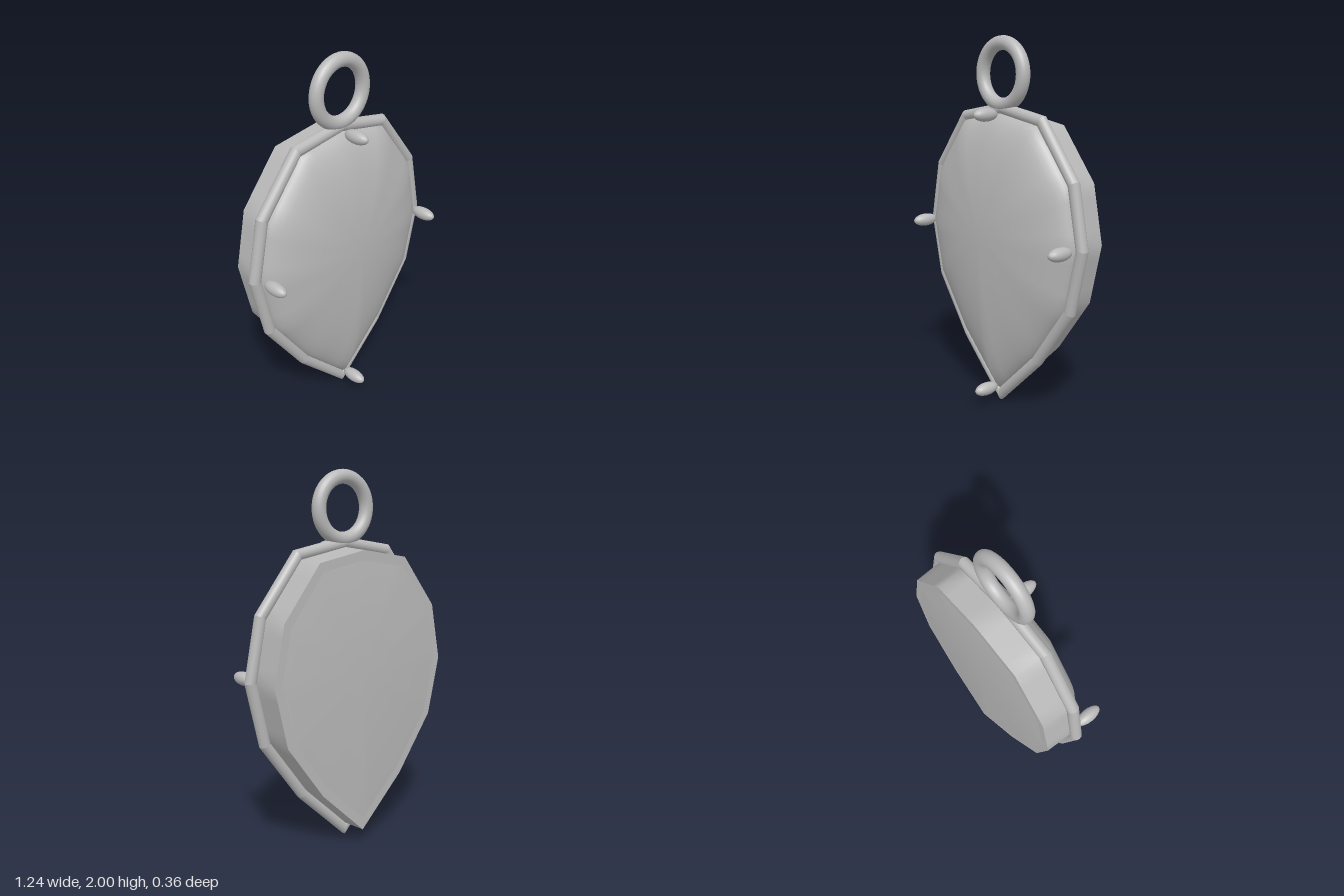
import * as THREE from 'three';
import { mergeVertices } from 'three/addons/utils/BufferGeometryUtils.js';

// Teardrop outline, right half from top to tip (centre line of the rim)
const HALF = [[0, 1.628], [0.298, 1.577], [0.525, 1.29], [0.59, 0.97], [0.515, 0.64], [0.285, 0.32], [0, 0.045]];
const CENTRE_Y = 0.97;

// Full outline, counter-clockwise seen from the front
const OUTLINE = [
  ...HALF.map(([x, y]) => new THREE.Vector2(-x, y)),
  ...HALF.slice(1, -1).reverse().map(([x, y]) => new THREE.Vector2(x, y)),
];

// Outline with every edge cut into short pieces
const FINE = OUTLINE.flatMap((p, i) => {
  const q = OUTLINE[(i + 1) % OUTLINE.length];
  return [0, 0.25, 0.5, 0.75].map((t) => p.clone().lerp(q, t));
});

// Outline scaled about the widest height and placed at depth z
const ring = (scale, z) =>
  FINE.map((p) => new THREE.Vector3(p.x * scale, CENTRE_Y + (p.y - CENTRE_Y) * scale, z));

// Smooth skin through closed rings of equal point count
function loft(rings) {
  const n = rings[0].length;
  const index = [];
  for (let i = 0; i < rings.length - 1; i++) {
    for (let k = 0; k < n; k++) {
      const a = i * n + k;
      const b = i * n + ((k + 1) % n);
      index.push(a, a + n, b, b, a + n, b + n);
    }
  }
  let geometry = new THREE.BufferGeometry().setFromPoints(rings.flat());
  geometry.setIndex(index);
  geometry = mergeVertices(geometry, 1e-5);
  geometry.computeVertexNormals();
  return geometry;
}

// Round wire section, mitred at outline corner i
function mitreRing(i, radius, z) {
  const n = OUTLINE.length;
  const p = OUTLINE[i % n];
  const before = p.clone().sub(OUTLINE[(i + n - 1) % n]).normalize();
  const after = OUTLINE[(i + 1) % n].clone().sub(p).normalize();
  const along = before.clone().add(after).normalize();
  const reach = radius / along.dot(after);
  return Array.from({ length: 16 }, (_, k) => {
    const a = (k / 16) * Math.PI * 2;
    const out = Math.cos(a) * reach;
    return new THREE.Vector3(p.x + along.y * out, p.y - along.x * out, z + Math.sin(a) * radius);
  });
}

export function createModel() {
  const model = new THREE.Group();
  const metal = new THREE.MeshStandardMaterial({ color: 0xb8b8b8 });
  metal.name = 'greyMetal';
  metal.side = THREE.DoubleSide;

  const add = (name, geometry, parent = model) => {
    const mesh = new THREE.Mesh(geometry, metal);
    mesh.name = name;
    parent.add(mesh);
    return mesh;
  };

  // Domed stone
  const dome = [];
  for (let i = 0; i <= 14; i++) {
    const a = (i / 14) * Math.PI / 2;
    dome.push(ring(0.97 * Math.sin(a), -0.01 + 0.166 * Math.cos(a)));
  }
  add('stone', loft(dome));

  // Setting behind the stone: side wall, flat lip and back plate
  add('settingWall', loft([ring(0.97, -0.01), ring(0.957, -0.178)]));
  add('settingLip', loft([ring(0.957, -0.178), ring(0.87, -0.178)]));
  add('backPlate', loft([ring(0.88, -0.15), ring(0.88, -0.182), ring(0, -0.182)]));

  // Wire rim, one straight piece per outline edge
  const rim = new THREE.Group();
  rim.name = 'rim';
  model.add(rim);
  OUTLINE.forEach((_, i) => {
    add('rimSegment', loft([mitreRing(i, 0.031, -0.01), mitreRing(i + 1, 0.031, -0.01)]), rim);
  });

  // Hanging ring
  add('hangingRing', new THREE.TorusGeometry(0.158, 0.037, 20, 56)).position.set(0, 1.805, -0.01);

  // Four prongs
  for (const [x, y] of [[0, 1.6], [-0.555, 0.967], [0.555, 0.967], [0, 0.098]]) {
    const prong = add('prong', new THREE.SphereGeometry(1, 20, 14));
    prong.scale.set(0.035, 0.035, 0.076);
    prong.position.set(x, y, 0.106);
  }

  return model;
}
